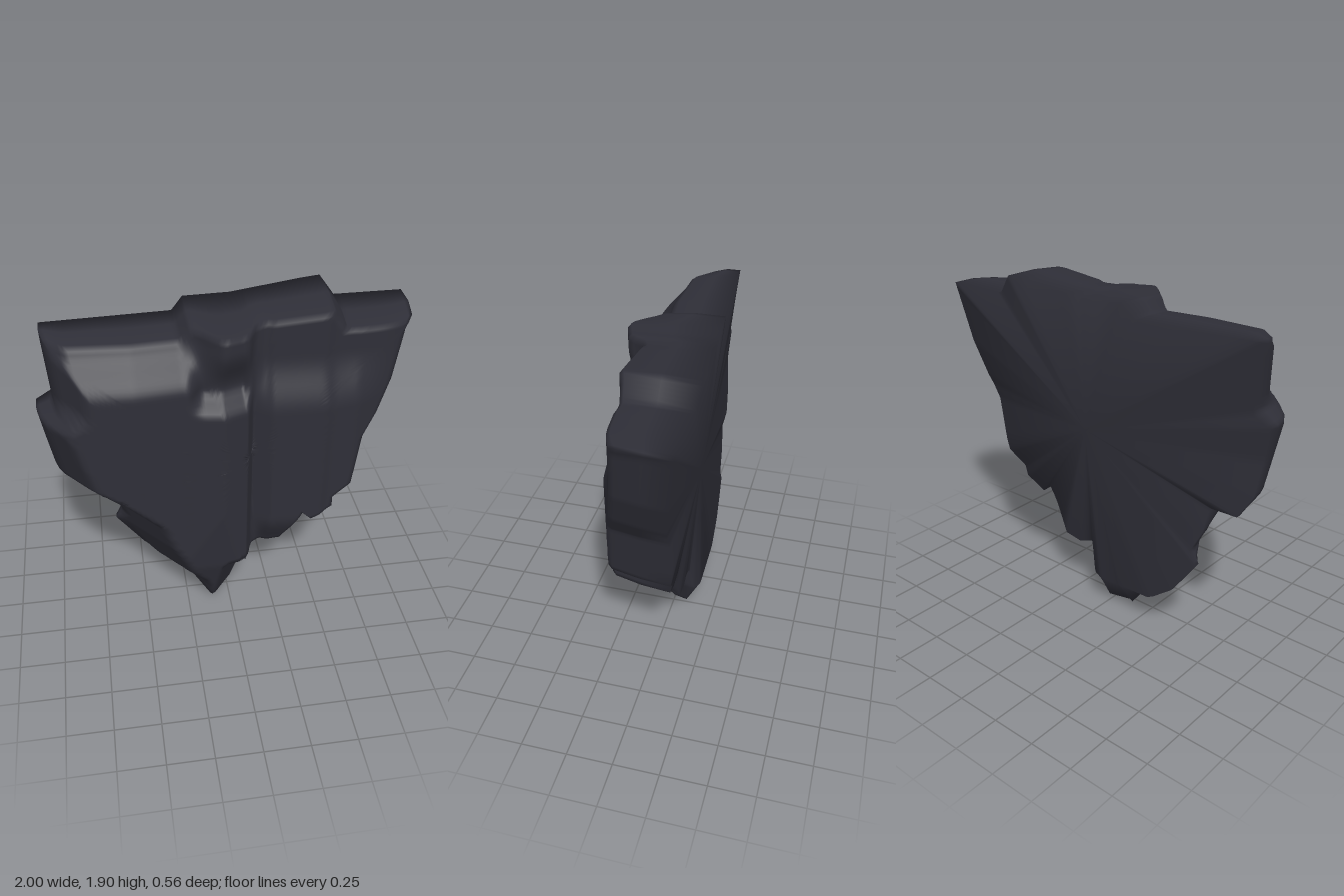
import * as THREE from 'three';
import { mergeVertices } from 'three/addons/utils/BufferGeometryUtils.js';

// Middle of the slab, on the groove beside the central rib
const CX = 0.1, CY = 1.1, APEX_Z = -0.18;
// Ragged silhouette, clockwise from the upper corner
const OUTLINE = [
  [-0.94, 1.8], [-0.26, 1.79], [-0.2, 1.86], [0.05, 1.855], [0.54, 1.9], [0.62, 1.79], [0.995, 1.79],
  [0.93, 1.45], [0.85, 1.25], [0.77, 1.12], [0.72, 0.8], [0.61, 0.72], [0.61, 0.65], [0.49, 0.58],
  [0.43, 0.64], [0.32, 0.35], [0.21, 0.33], [0.11, 0.37], [0.08, 0.22], [0.01, 0.03], [-0.12, 0.0],
  [-0.23, 0.14], [-0.37, 0.21], [-0.49, 0.3], [-0.64, 0.51], [-0.6, 0.59], [-0.67, 0.72], [-0.7, 0.87],
  [-0.86, 0.87], [-0.94, 1.0], [-1.0, 1.38], [-0.91, 1.43],
];
// Front relief across the width: x, z
const RELIEF = [
  [-1, 0.1], [-0.82, 0.26], [-0.5, 0.275], [-0.25, 0.25], [-0.05, 0.28], [0.08, 0.23], [0.12, 0.14],
  [0.22, 0.2], [0.5, 0.21], [0.54, 0.19], [0.68, 0.17], [0.93, 0.05], [1, 0],
];
// Reach of the slanting right flank at each height: y, reach
const FLANK = [
  [0, 0.16], [0.14, 0.2], [0.21, 0.23], [0.3, 0.31], [0.53, 0.41], [0.7, 0.46], [0.87, 0.6], [1, 0.73],
  [1.36, 0.81], [1.46, 0.73], [1.9, 0.73],
];

const smooth = THREE.MathUtils.smoothstep;
const lerp = THREE.MathUtils.lerp;

// Piecewise linear lookup
function profile(table, t) {
  for (let i = 1; i < table.length; i++) {
    const [t0, v0] = table[i - 1], [t1, v1] = table[i];
    if (t <= t1) return v0 + (v1 - v0) * Math.max(0, (t - t0) / (t1 - t0));
  }
  return table[table.length - 1][1];
}

function frontZ(x, y) {
  let z = profile(RELIEF, x);
  // central rib: a notch under an overhanging brow
  const rib = smooth(x, -0.24, -0.14) * (1 - smooth(x, 0.06, 0.12));
  z -= 0.1 * rib * smooth(y, 1.4, 1.52) * (1 - 0.8 * smooth(y, 1.52, 1.76));
  // the right half rounds back to its upper edge
  z -= 0.16 * (1 - smooth(x, -0.25, -0.02)) * smooth(y, 1.54, 1.79);
  // the left half leans back above and tapers below, fading out towards its edge
  const side = smooth(x, 0.1, 0.2);
  z -= side * (0.08 * smooth(y, 1.35, 1.65) * (1 - smooth(x, 0.6, 0.9)) + 0.1 * (1 - smooth(y, 0.35, 0.65)));
  // slanting flanks and thin lower tip
  const rightFlank = (0.77 * x + profile(FLANK, y)) / 0.64;
  const leftFlank = (0.3 * y + 2 * Math.max(0, y - 0.35) - 0.77 * x) / 0.64;
  z = Math.min(z, 0.14 + 0.28 * y, 0.21 + 0.09 * y, rightFlank, y < 0.75 ? leftFlank : z);
  return Math.max(z, backZ(x, y) + 0.06);
}

function backZ(x, y) {
  const lean = THREE.MathUtils.clamp((y - 1.2) / 0.7, 0, 1);
  const tilt = 0.08 * Math.max(0, 0.45 - x) * (0.3 + 0.7 * smooth(y, 0.2, 1.9));
  const lowerLeft = 0.06 * smooth(x, 0, 0.15) * (1 - smooth(y, 0.5, 0.9));
  return -0.18 - 0.1 * lean + tilt + lowerLeft;
}

// How far the front edge sits inside the silhouette
function inset(x, y) {
  const left = smooth(x, 0.05, 0.2) * (1 - smooth(y, 1.75, 1.8));
  const low = smooth(x, 0.05, 0.2) * (1 - smooth(y, 0.4, 0.7));
  return 0.02 + 0.035 * left + 0.04 * low;
}

// Split the silhouette into short steps
function denseOutline(step) {
  const pts = [];
  OUTLINE.forEach(([x0, y0], i) => {
    const [x1, y1] = OUTLINE[(i + 1) % OUTLINE.length];
    const n = Math.ceil(Math.hypot(x1 - x0, y1 - y0) / step);
    for (let k = 0; k < n; k++) pts.push([lerp(x0, x1, k / n), lerp(y0, y1, k / n)]);
  });
  return pts;
}

function slabGeometry() {
  const pts = denseOutline(0.025), n = pts.length;
  const scaled = ([px, py], s) => [CX + (px - CX) * s, CY + (py - CY) * s];
  const rings = [];

  // front face from the middle outwards
  for (let i = 0; i <= 36; i++) {
    rings.push(pts.map((p) => {
      const [x, y] = scaled(p, (1 - inset(...p) - 0.03) * i / 36);
      return [x, y, frontZ(x, y)];
    }));
  }
  // rounded front edge
  rings.push(pts.map((p) => {
    const [x, y] = scaled(p, 1 - inset(...p));
    return [x, y, frontZ(x, y) - 0.02];
  }));
  // middle of the side wall
  rings.push(pts.map((p) => {
    const [x, y] = scaled(p, 1 - 0.5 * (inset(...p) - 0.02));
    return [x, y, lerp(frontZ(x, y), backZ(x, y), 0.5)];
  }));
  // back edge, raised above the tip, then the middle of the back
  rings.push(pts.map(([x, py]) => {
    const y = Math.max(py, 0.19);
    return [x, y, backZ(x, y)];
  }));
  rings.push(pts.map(() => [CX, CY, APEX_Z]));

  const index = [];
  for (let i = 0; i < rings.length - 1; i++) {
    for (let j = 0; j < n; j++) {
      const k = (j + 1) % n;
      const a = i * n + j, b = i * n + k, c = a + n, d = b + n;
      if (i > 0) index.push(a, b, d);
      if (i < rings.length - 2) index.push(a, d, c);
    }
  }

  let geo = new THREE.BufferGeometry();
  geo.setAttribute('position', new THREE.Float32BufferAttribute(rings.flat(2), 3));
  geo.setIndex(index);
  geo = mergeVertices(geo, 1e-4);
  geo.computeVertexNormals();
  return geo;
}

export function createModel() {
  const group = new THREE.Group();
  group.name = 'rockSlab';
  const darkStone = new THREE.MeshStandardMaterial({ color: 0x2f2f38 });
  darkStone.name = 'dark stone';
  const slab = new THREE.Mesh(slabGeometry(), darkStone);
  slab.name = 'slab';
  group.add(slab);
  return group;
}
